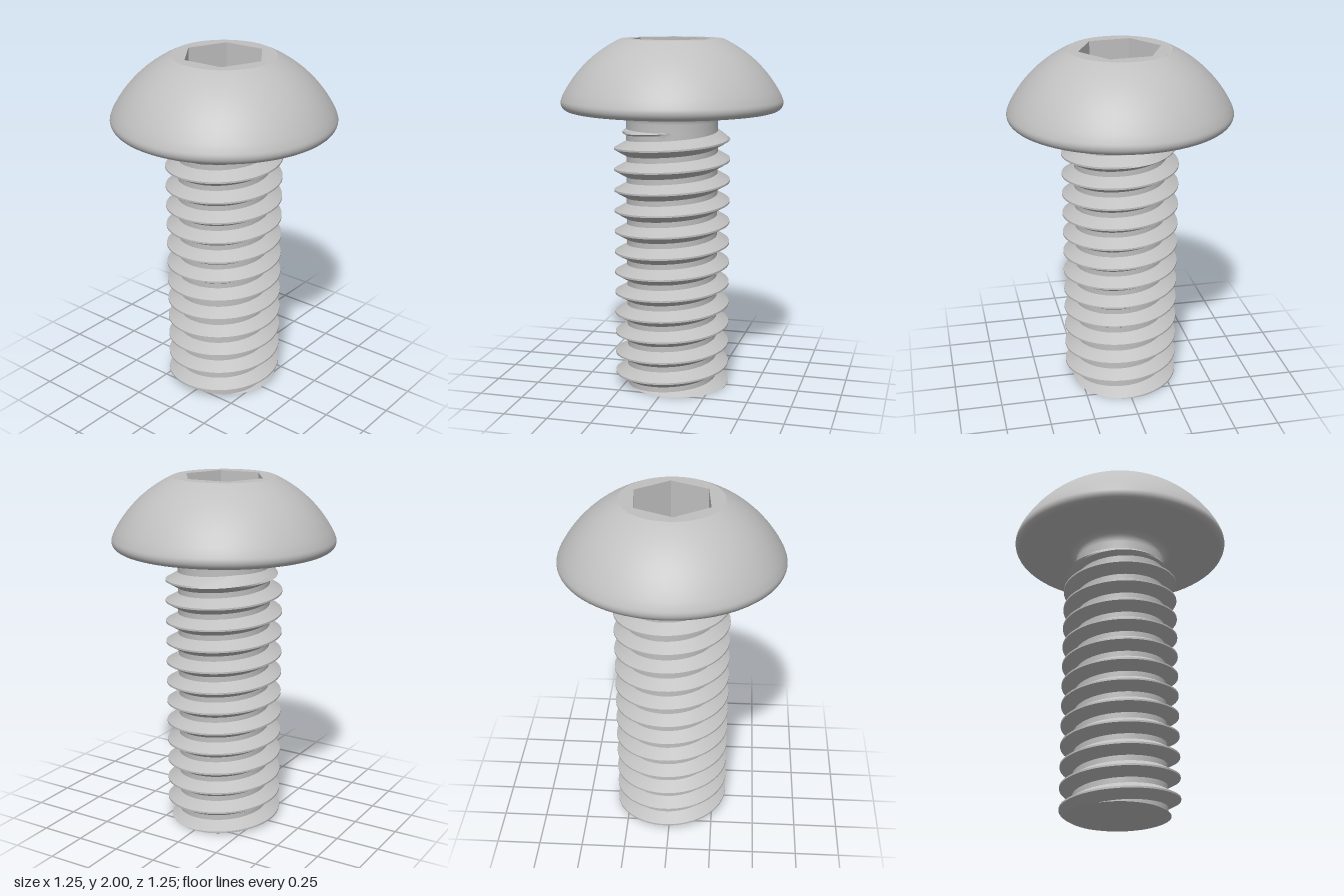
import * as THREE from 'three';
import { toCreasedNormals } from 'three/addons/utils/BufferGeometryUtils.js';

const PITCH = 0.12, ROOT = 0.26, CREST = 0.33, THREAD_TOP = 1.5;
const SEGMENTS = 72;
const TAU = Math.PI * 2;

// Thread radius at angle a (counterclockwise from +x, seen from above) and height y
function threadRadius(a, y) {
  const t = y / PITCH - a / TAU;
  const d = Math.abs(t - Math.round(t)) * PITCH; // distance from the nearest crest
  const flank = THREE.MathUtils.clamp((d - 0.005) / 0.04, 0, 1);
  const r = CREST + (ROOT - CREST) * flank;
  return Math.min(r, ROOT + Math.max(0, THREAD_TOP - y) * 1.2); // run-out below the neck
}

// Helical surface, trimmed at the tip and at the neck
function threadGeometry() {
  const offsets = [-0.045, -0.035, -0.025, -0.015, -0.005, 0.005, 0.015, 0.025, 0.035, 0.045];
  const columns = [];
  for (let i = 0; i <= SEGMENTS; i++) {
    const a = (i / SEGMENTS) * TAU;
    const column = [];
    for (let k = -2; k <= 13; k++) {
      for (const o of offsets) {
        const y = THREE.MathUtils.clamp(PITCH * (k + a / TAU) + o, 0, THREAD_TOP);
        const r = threadRadius(a, y);
        column.push(new THREE.Vector3(r * Math.cos(a), y, -r * Math.sin(a)));
      }
    }
    columns.push(column);
  }
  const positions = [];
  const tri = new THREE.Triangle();
  const add = (a, b, c) => {
    if (tri.set(a, b, c).getArea() < 1e-8) return;
    for (const p of [a, b, c]) positions.push(p.x, p.y, p.z);
  };
  for (let i = 0; i < SEGMENTS; i++) {
    const A = columns[i], B = columns[i + 1];
    for (let j = 0; j < A.length - 1; j++) {
      add(A[j], B[j], B[j + 1]);
      add(A[j], B[j + 1], A[j + 1]);
    }
  }
  const g = new THREE.BufferGeometry();
  g.setAttribute('position', new THREE.Float32BufferAttribute(positions, 3));
  return toCreasedNormals(g, 0.5);
}

// Points on an arc in the lathe plane, angles in radians
function arc(cx, cy, r, from, to, n) {
  return Array.from({ length: n + 1 }, (_, i) => {
    const t = from + ((to - from) * i) / n;
    return new THREE.Vector2(cx + r * Math.cos(t), cy + r * Math.sin(t));
  });
}

export function createModel() {
  const group = new THREE.Group();
  const steel = new THREE.MeshStandardMaterial({ color: 0xc0c0c0 });
  steel.name = 'steel';
  const part = (name, geometry) => {
    const mesh = new THREE.Mesh(geometry, steel);
    mesh.name = name;
    group.add(mesh);
    return mesh;
  };
  const lathe = (name, points) => part(name, new THREE.LatheGeometry(points, SEGMENTS));

  // Threaded shank and its flat tip
  part('thread', threadGeometry());
  const outline = [];
  for (let i = 0; i < SEGMENTS; i++) {
    const a = (i / SEGMENTS) * TAU;
    const r = threadRadius(a, 0);
    outline.push(new THREE.Vector2(r * Math.cos(a), -r * Math.sin(a)));
  }
  part('tip', new THREE.ShapeGeometry(new THREE.Shape(outline)).rotateX(Math.PI / 2));

  // Plain neck with a fillet into the head
  lathe('neck', [
    new THREE.Vector2(ROOT, THREAD_TOP),
    ...arc(0.32, 1.545, 0.06, Math.PI, Math.PI / 2, 8),
  ]);

  // Head: flat underside, then rounded rim running into the dome
  lathe('headUnderside', [new THREE.Vector2(0.32, 1.605), new THREE.Vector2(0.58, 1.605)]);
  const tangent = Math.atan2(0.279, 0.58);
  const domeRadius = 0.691;
  lathe('headDome', [
    ...arc(0.58, 1.65, 0.045, -Math.PI / 2, tangent, 10),
    ...arc(0, 1.371, domeRadius, tangent, Math.asin((2 - 1.371) / domeRadius), 20).slice(1),
  ]);

  // Flat crown with the walls of the hexagonal socket
  const depth = 0.22, hexRadius = 0.233, hexTurn = THREE.MathUtils.degToRad(5);
  const crown = new THREE.Shape().absarc(0, 0, 0.286, 0, TAU, false);
  const hex = [];
  for (let i = 0; i < 6; i++) {
    const t = hexTurn + (i * TAU) / 6;
    hex.push(new THREE.Vector2(hexRadius * Math.sin(t), -hexRadius * Math.cos(t)));
  }
  crown.holes.push(new THREE.Path(hex));
  const crownMesh = part('crownWithSocket', new THREE.ExtrudeGeometry(crown, {
    depth, bevelEnabled: false, curveSegments: SEGMENTS,
  }).rotateX(-Math.PI / 2));
  crownMesh.position.y = 2 - depth;

  // Socket floor
  const floor = part('socketFloor', new THREE.ShapeGeometry(new THREE.Shape(hex)).rotateX(-Math.PI / 2));
  floor.position.y = 2 - depth;

  return group;
}
